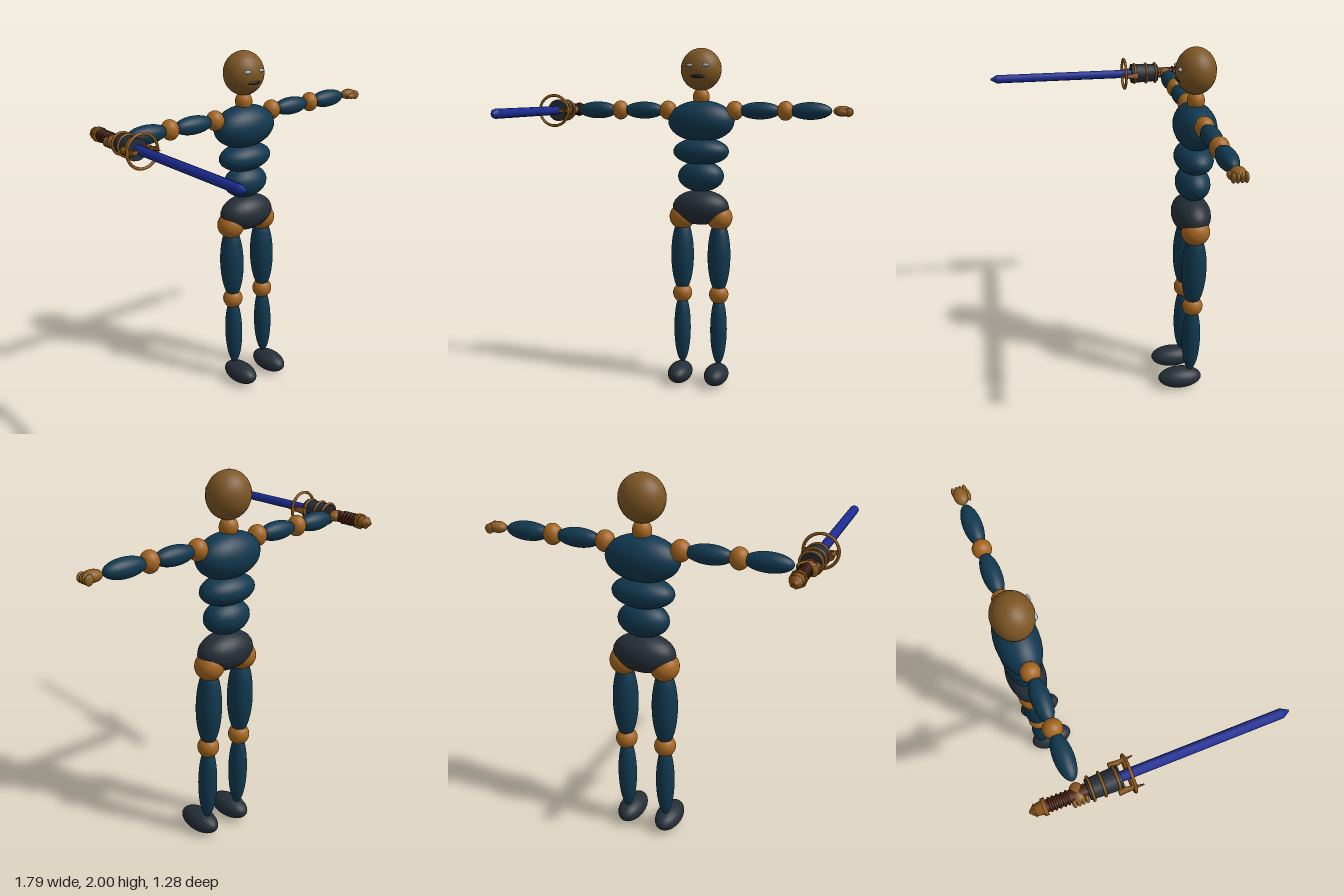
import * as THREE from 'three';

const paint = (name, color) => {
  const m = new THREE.MeshStandardMaterial({ color });
  m.name = name;
  return m;
};

export function createModel() {
  const teal = paint('deep teal', 0x10384f);
  const charcoal = paint('charcoal', 0x242e38);
  const copper = paint('copper joint', 0xa5661f);
  const skin = paint('brown head', 0x7d5624);
  const handTone = paint('hand brown', 0x8c5c22);
  const brass = paint('dark brass', 0x8a5518);
  const leather = paint('grip leather', 0x4a200c);
  const blue = paint('blade blue', 0x1c2c94);
  const eyeTone = paint('pale eye', 0xa4b8c4);
  const mouthTone = paint('mouth black', 0x1b1c20);

  const model = new THREE.Group();
  model.name = 'swordFigure';
  const body = new THREE.Group();
  body.name = 'body';
  body.position.set(0.016, 0, -0.41);
  model.add(body);

  const add = (parent, name, geo, mat, x = 0, y = 0, z = 0) => {
    const mesh = new THREE.Mesh(geo, mat);
    mesh.name = name;
    mesh.position.set(x, y, z);
    parent.add(mesh);
    return mesh;
  };
  // Ellipsoid with radii r = [rx, ry, rz]
  const blob = (parent, name, mat, p, r) =>
    add(parent, name, new THREE.SphereGeometry(1, 28, 18).scale(...r), mat, ...p);

  // Head and face
  blob(body, 'head', skin, [0, 1.878, 0.005], [0.119, 0.122, 0.106]);
  blob(body, 'mouth', mouthTone, [0, 1.838, 0.085], [0.048, 0.014, 0.026]);
  blob(body, 'neck', copper, [0, 1.72, 0], [0.049, 0.055, 0.047]);

  // Torso
  blob(body, 'chest', teal, [0, 1.58, 0], [0.198, 0.121, 0.113]);
  blob(body, 'upperBelly', teal, [0, 1.403, 0], [0.167, 0.081, 0.104]);
  blob(body, 'lowerBelly', teal, [0, 1.257, 0], [0.138, 0.092, 0.094]);
  blob(body, 'pelvis', charcoal, [0, 1.072, 0.003], [0.17, 0.104, 0.107]);

  for (const s of [1, -1]) {
    const side = s > 0 ? 'left' : 'right';
    const part = (name, mat, [x, y, z], r) => blob(body, side + name, mat, [s * x, y, z], r);
    part('Eye', eyeTone, [0.046, 1.9, 0.099], [0.021, 0.01, 0.011]);

    // Leg
    part('Hip', copper, [0.113, 1.013, 0], [0.077, 0.077, 0.079]);
    part('Thigh', teal, [0.112, 0.78, 0], [0.068, 0.23, 0.07]);
    part('Knee', copper, [0.112, 0.546, 0], [0.058, 0.058, 0.058]);
    part('Shin', teal, [0.112, 0.33, 0], [0.05, 0.218, 0.053]);
    part('Foot', charcoal, [0.112, 0.065, 0.058], [0.071, 0.061, 0.127]);

    // Arm
    part('Shoulder', copper, [0.2, 1.642, 0], [0.051, 0.056, 0.051]);
    part('UpperArm', teal, [0.346, 1.642, 0], [0.122, 0.05, 0.05]);
    part('Elbow', copper, [0.494, 1.642, 0], [0.049, 0.056, 0.05]);
    part('Forearm', teal, [0.636, 1.642, 0], [0.122, 0.05, 0.05]);

    // Hand with curled fingers and thumb
    part('Palm', handTone, [0.815, 1.642, -0.002], [0.051, 0.03, 0.037]);
    for (let i = 0; i < 4; i++) {
      part('Finger' + i, handTone, [0.85, 1.636, -0.03 + i * 0.02], [0.024, 0.026, 0.011]);
    }
    part('Thumb', handTone, [0.815, 1.635, 0.035], [0.034, 0.018, 0.014]);
  }

  // Sword held along the z axis in the right hand
  const sword = new THREE.Group();
  sword.name = 'sword';
  sword.position.set(-0.802, 1.642, 0);
  model.add(sword);

  // Straight round section from z0 (radius r0) to z1 (radius r1)
  const rod = (name, mat, z0, z1, r0, r1, sides = 8) => add(sword, name,
    new THREE.CylinderGeometry(r1, r0, z1 - z0, sides).toNonIndexed().rotateX(Math.PI / 2),
    mat, 0, 0, (z0 + z1) / 2);
  const ring = (name, mat, z, radius, tube) => add(sword, name,
    new THREE.TorusGeometry(radius, tube, 8, 32), mat, 0, 0, z);

  rod('blade', blue, -0.22, 0.6, 0.025, 0.025);
  rod('bladeTip', blue, 0.6, 0.637, 0.025, 0.004);

  // Ring guard and crossbar
  ring('guardRing', brass, -0.163, 0.087, 0.008);
  for (const s of [1, -1]) {
    add(sword, 'guardBar', new THREE.BoxGeometry(0.06, 0.02, 0.014), brass, s * 0.057, 0, -0.165);
    const prong = add(sword, 'guardProng',
      new THREE.CylinderGeometry(0.003, 0.02, 0.12, 6).rotateX(Math.PI / 2),
      brass, s * 0.066, 0, -0.178);
    prong.rotation.y = s * 0.08;
  }

  // Housing with brass bands
  rod('housing', charcoal, -0.365, -0.205, 0.05, 0.057, 16);
  for (const z of [-0.35, -0.295, -0.225]) ring('housingBand', brass, z, 0.056, 0.007);

  // Grip, wrapping and pommel
  rod('grip', leather, -0.57, -0.36, 0.03, 0.03, 16);
  for (let i = 0; i < 5; i++) ring('gripWrap', leather, -0.46 - i * 0.021, 0.03, 0.006);
  rod('pommelCollar', brass, -0.58, -0.56, 0.042, 0.042);
  rod('pommelNeck', brass, -0.615, -0.58, 0.027, 0.034);
  rod('pommelTip', brass, -0.642, -0.612, 0.005, 0.034);

  return model;
}
